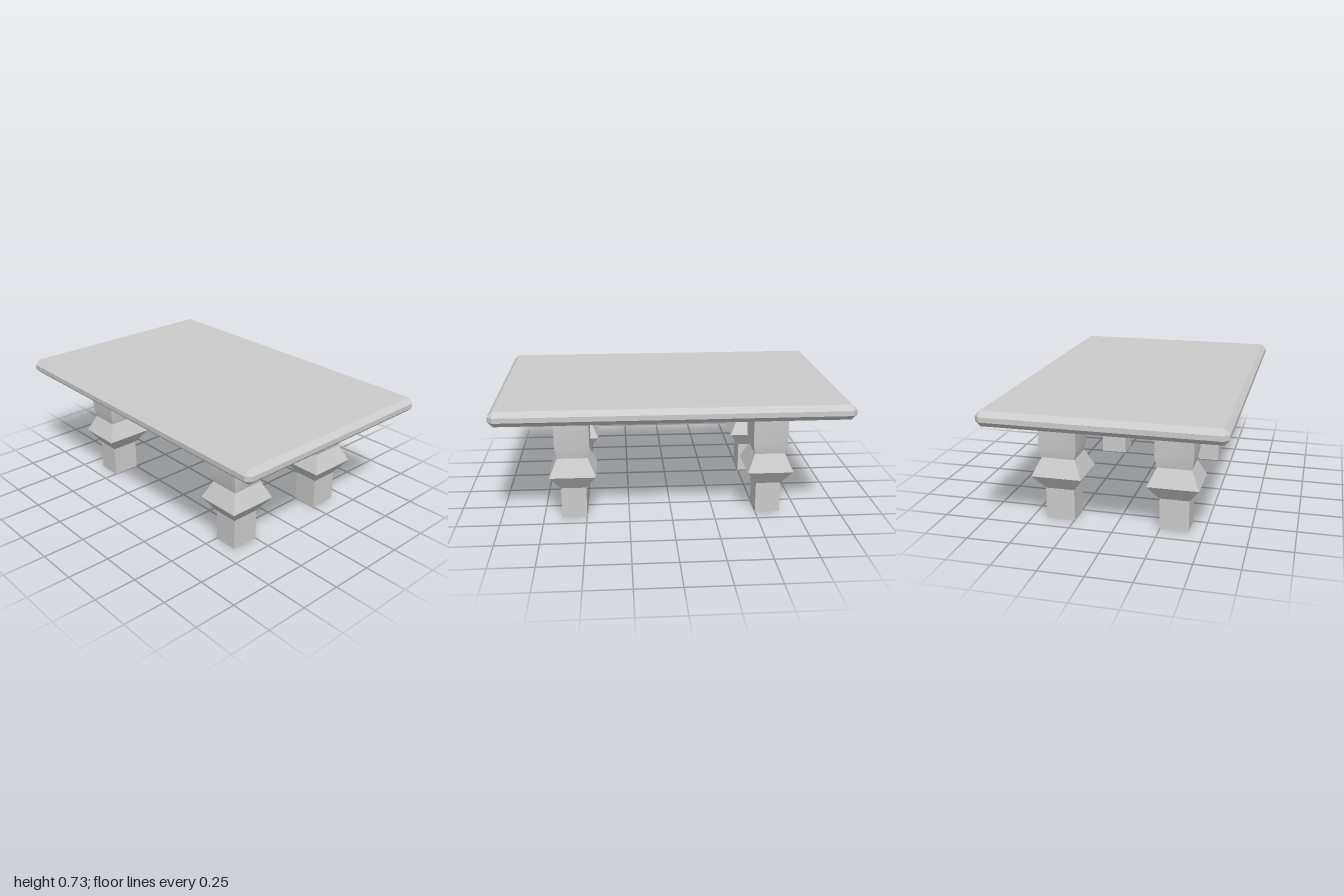
import * as THREE from 'three';
import { toCreasedNormals } from 'three/addons/utils/BufferGeometryUtils.js';
import { ConvexGeometry } from 'three/addons/geometries/ConvexGeometry.js';

const grey = new THREE.MeshStandardMaterial({ color: 0xcccccc });

// Box with every edge and corner chamfered by c
function chamferedBox(hx, hy, hz, c) {
  const points = [];
  for (const x of [-1, 1]) for (const y of [-1, 1]) for (const z of [-1, 1]) {
    points.push(
      new THREE.Vector3(x * hx, y * (hy - c), z * (hz - c)),
      new THREE.Vector3(x * (hx - c), y * hy, z * (hz - c)),
      new THREE.Vector3(x * (hx - c), y * (hy - c), z * hz)
    );
  }
  return new ConvexGeometry(points);
}

// Leg rings from foot to top: [y, half width, half depth]
const legRings = [
  [0, 0.073, 0.084],
  [0.186, 0.073, 0.084],
  [0.273, 0.134, 0.146],
  [0.375, 0.088, 0.097],
  [0.44, 0.1, 0.109],
  [0.645, 0.1, 0.109]
];

// Subdivided box whose rows are moved onto the leg rings
function legGeometry() {
  const rows = legRings.length - 1;
  const geometry = new THREE.BoxGeometry(2, rows, 2, 1, rows, 1);
  const p = geometry.attributes.position;
  for (let i = 0; i < p.count; i++) {
    const [y, hx, hz] = legRings[Math.round(p.getY(i) + rows / 2)];
    p.setXYZ(i, Math.sign(p.getX(i)) * hx, y, Math.sign(p.getZ(i)) * hz);
  }
  geometry.deleteAttribute('normal');
  geometry.deleteAttribute('uv');
  return toCreasedNormals(geometry, Math.PI / 9);
}

export function createModel() {
  const table = new THREE.Group();
  table.name = 'table';

  // Table top
  const top = new THREE.Mesh(chamferedBox(1, 0.043, 0.665, 0.029), grey);
  top.name = 'tableTop';
  top.position.y = 0.687;
  table.add(top);

  // Four legs
  const geometry = legGeometry();
  for (const x of [-1, 1]) for (const z of [-1, 1]) {
    const leg = new THREE.Mesh(geometry, grey);
    leg.name = (z > 0 ? 'front' : 'back') + (x > 0 ? 'Left' : 'Right') + 'Leg';
    leg.position.set(x * 0.572, 0, z * 0.332);
    table.add(leg);
  }
  return table;
}
